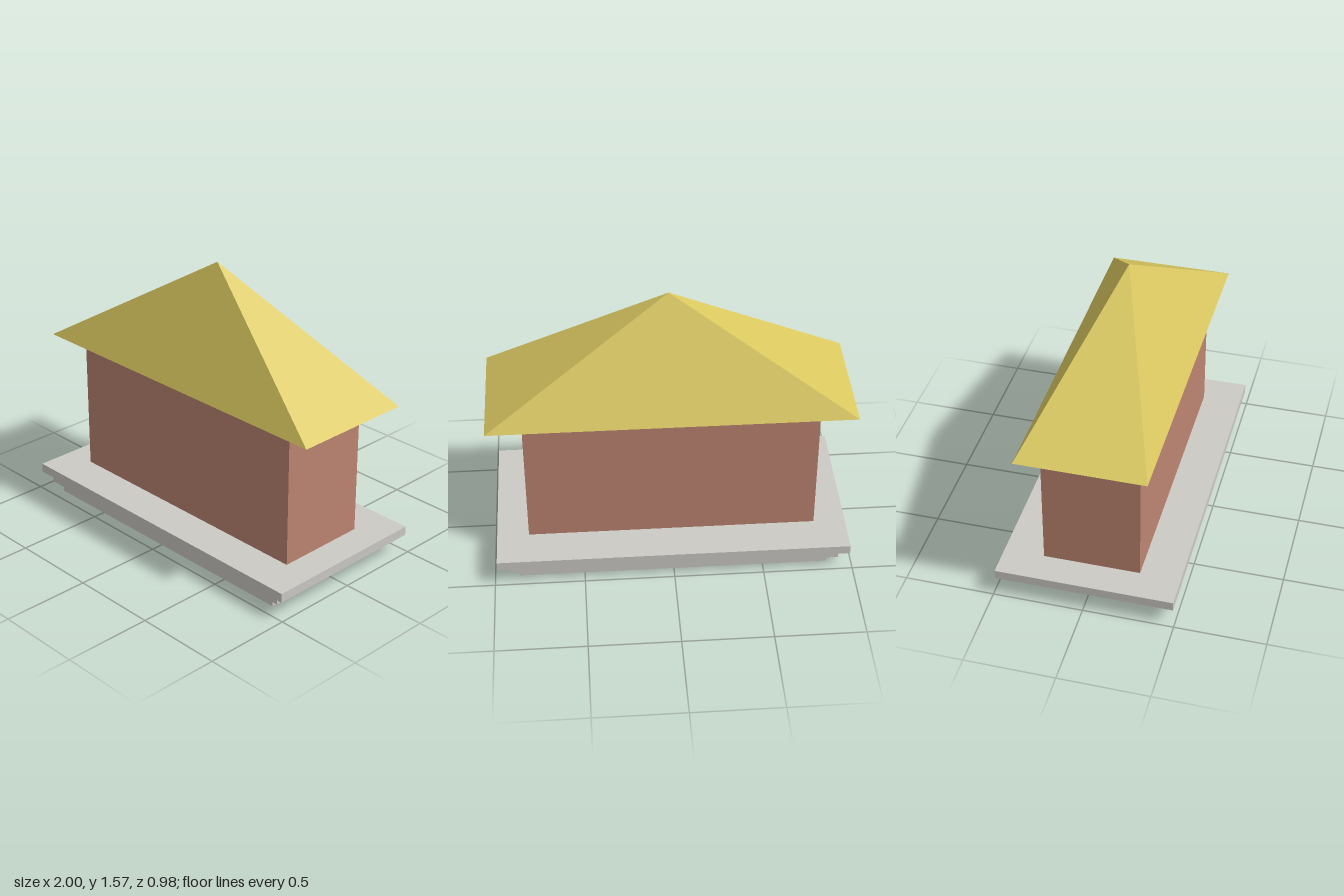
import * as THREE from 'three';

const stone = new THREE.MeshStandardMaterial({ color: 0xcccac5 });
const brick = new THREE.MeshStandardMaterial({ color: 0xbd8571 });
const thatch = new THREE.MeshStandardMaterial({ color: 0xd9c75f, flatShading: true, side: THREE.DoubleSide });

// Box given by half width, half depth and its bottom and top heights
function block(name, halfX, halfZ, bottom, top, material) {
  const mesh = new THREE.Mesh(new THREE.BoxGeometry(halfX * 2, top - bottom, halfZ * 2), material);
  mesh.position.y = (bottom + top) / 2;
  mesh.name = name;
  return mesh;
}

export function createModel() {
  const model = new THREE.Group();
  model.name = 'house';

  // Stepped plinth, each slab wider than the one below
  const plinth = new THREE.Group();
  plinth.name = 'plinth';
  const slab = 0.157 / 3;
  for (let i = 0; i < 3; i++) {
    plinth.add(block('plinthSlab' + (i + 1), 0.863 + i * 0.06, 0.431 + i * 0.03, i * slab, (i + 1) * slab, stone));
  }
  model.add(plinth);

  // Walls
  const eaves = 0.945;
  model.add(block('walls', 0.805, 0.268, 0.157, eaves, brick));

  // Four-sided hipped roof, open underneath
  const height = 1.57 - eaves;
  const shape = new THREE.ConeGeometry(Math.SQRT2, height, 4, 1, true);
  shape.rotateY(Math.PI / 4).scale(1, 1, 0.352);
  const roof = new THREE.Mesh(shape, thatch);
  roof.position.y = eaves + height / 2;
  roof.name = 'roof';
  model.add(roof);

  return model;
}
